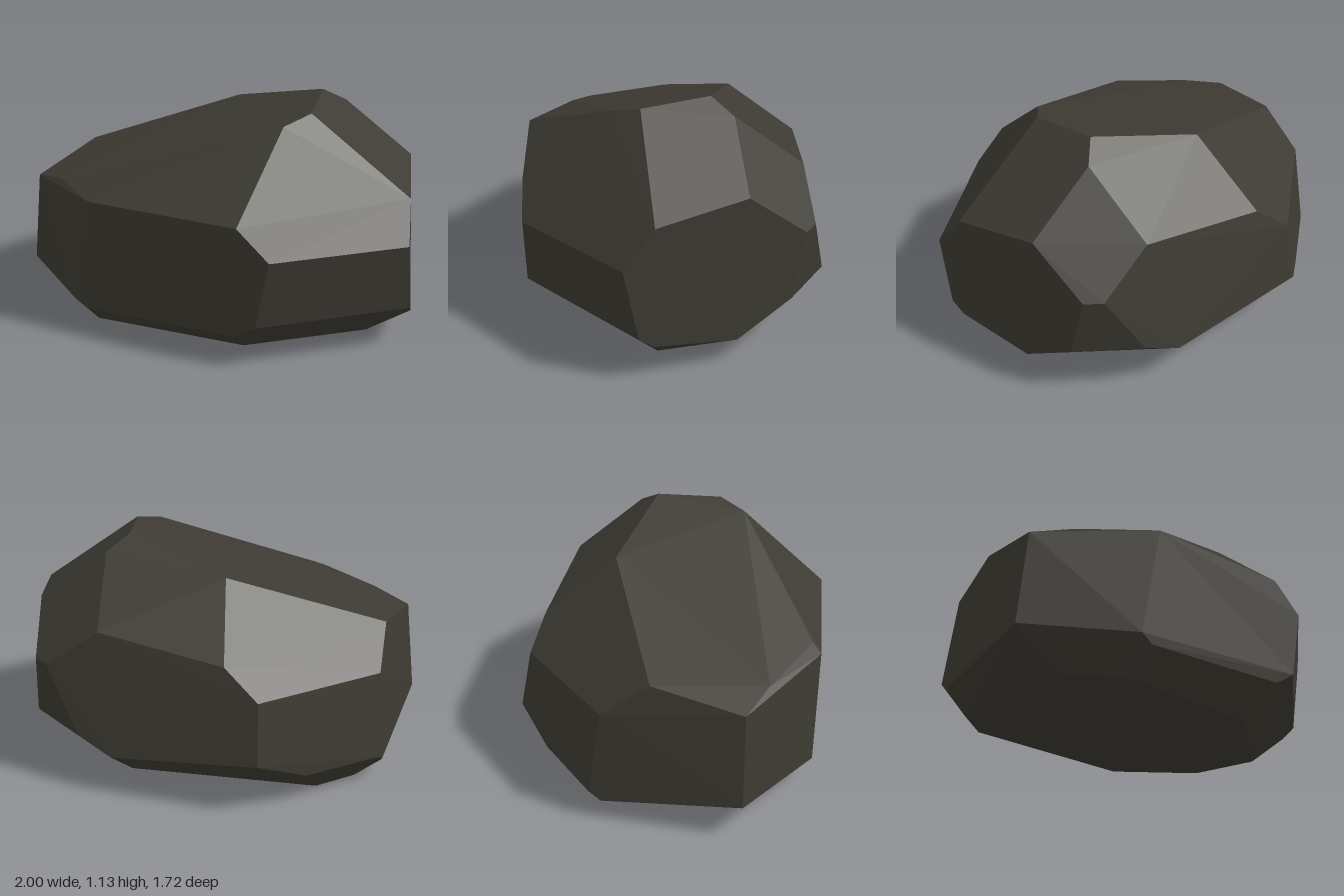
import * as THREE from 'three';
import { ConvexGeometry } from 'three/addons/geometries/ConvexGeometry.js';

export function createModel() {
  const group = new THREE.Group();
  group.name = 'rock';

  const darkStone = new THREE.MeshStandardMaterial({ color: 0x3c3a32 });
  darkStone.name = 'darkStone';

  // Corners of the faceted boulder, ring by ring
  const crown = [
    [0.5, 1.13, 0], [0.44, 1.1, 0.33], [0.31, 1.06, 0.42], [0.62, 1.06, -0.06],
    [0.07, 1.0, -0.33], [-0.72, 0.735, -0.36], [-0.95, 0.65, 0.02],
    [-0.81, 0.695, 0.18], [-0.55, 0.73, 0.49],
  ];
  const shoulder = [
    [-0.61, 0.7, 0.51], [0.11, 0.7, 0.8], [0.26, 0.56, 0.86], [0.9, 0.56, 0.63],
    [0.91, 0.74, 0.48], [0.95, 0.81, 0.04], [0.99, 0.6, -0.24], [0.94, 0.6, -0.32],
    [0.69, 0.79, -0.4], [0.13, 0.71, -0.69], [-0.01, 0.57, -0.8], [-0.64, 0.57, -0.58],
  ];
  const skirt = [
    [-1, 0.18, 0], [-0.7, 0.16, 0.46], [-0.64, 0.12, 0.48], [0.1, 0.15, 0.78],
    [0.2, 0.22, 0.83], [0.93, 0.22, 0.57], [0.94, 0.17, 0.5], [0.98, 0.12, 0.1],
    [1, 0.28, -0.17], [0.81, 0.28, -0.46], [0.66, 0.2, -0.56], [0, 0.27, -0.86],
    [-0.25, 0.155, -0.78], [-0.64, 0.145, -0.65], [-0.67, 0.1, -0.6],
  ];
  const base = [
    [0.79, 0, 0.04], [0.55, 0, -0.35], [-0.33, 0, -0.64], [-0.54, 0, -0.57],
    [-0.77, 0, 0.11], [-0.61, 0, 0.35], [0.14, 0, 0.59], [0.74, 0, 0.39],
  ];

  const corners = [...crown, ...shoulder, ...skirt, ...base]
    .map((p) => new THREE.Vector3(...p));
  const boulder = new THREE.Mesh(new ConvexGeometry(corners), darkStone);
  boulder.name = 'boulder';
  group.add(boulder);

  return group;
}
